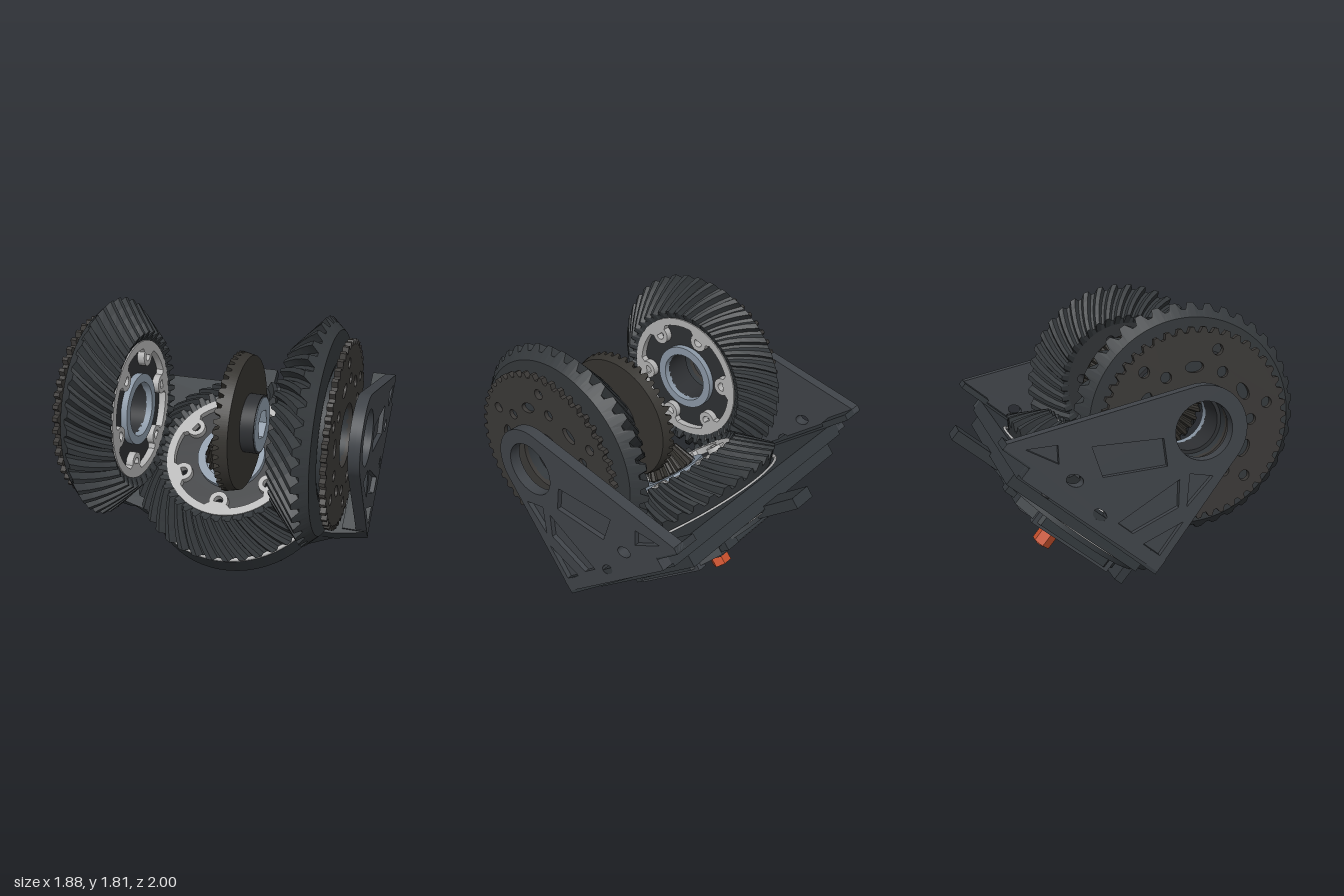
import * as THREE from 'three';
import { toCreasedNormals } from 'three/addons/utils/BufferGeometryUtils.js';

const mat = (color, flat = false) => new THREE.MeshStandardMaterial({ color, flatShading: flat });
const GEAR = mat(0x34383b, true), FRAME = mat(0x33383c), PLATE = mat(0x3f4348), WEB = mat(0x2e3033);
const SPROCKET = mat(0x3b3937), SILVER = mat(0xb4b4b4), STEEL = mat(0x8b98a6), ORANGE = mat(0xc8502c);
const TAU = Math.PI * 2;

function add(parent, name, geo, material, x = 0, y = 0, z = 0) {
  const m = new THREE.Mesh(geo, material);
  m.name = name;
  m.position.set(x, y, z);
  parent.add(m);
  return m;
}
const box = (p, name, m, x0, x1, y0, y1, z0, z1) =>
  add(p, name, new THREE.BoxGeometry(x1 - x0, y1 - y0, z1 - z0), m, (x0 + x1) / 2, (y0 + y1) / 2, (z0 + z1) / 2);
const cyl = (p, name, m, r, y0, y1, x = 0, z = 0, seg = 64) =>
  add(p, name, new THREE.CylinderGeometry(r, r, y1 - y0, seg), m, x, (y0 + y1) / 2, z);

const circle = (r, x = 0, y = 0) => new THREE.Path().absarc(x, y, r, 0, TAU, true);
const slot = (x, y, rx, ry, rot) => new THREE.Path().absellipse(x, y, rx, ry, 0, TAU, true, rot);
const poly = (pts) => new THREE.Shape(pts.map(([x, y]) => new THREE.Vector2(x, y)));
const ngon = (r, n, turn = 0) => Array.from({ length: n }, (_, i) =>
  [r * Math.cos(i * TAU / n + turn), r * Math.sin(i * TAU / n + turn)]);

function extrude(shape, depth, holes = []) {
  shape.holes.push(...holes);
  return toCreasedNormals(new THREE.ExtrudeGeometry(shape, { depth, bevelEnabled: false, curveSegments: 28 }), 0.5);
}
const ring = (rOut, rIn, depth, holes = []) =>
  extrude(new THREE.Shape().absarc(0, 0, rOut, 0, TAU), depth, [circle(rIn), ...holes]);

// Spiral bevel gear about z: the toothed cone runs from inner to outer as [radius, z], then to the back edge
function bevelGear({ teeth, inner, outer, back, bore, h, twist }) {
  const len = Math.hypot(outer[0] - inner[0], outer[1] - inner[1]);
  const n = [-(outer[1] - inner[1]) / len * h, (outer[0] - inner[0]) / len * h];
  const rows = [{ r: bore, a: inner[1] + n[1], t: 0, d: 0 }];
  for (let k = 0; k <= 4; k++) {
    const f = k / 4;
    rows.push({ r: inner[0] + (outer[0] - inner[0]) * f, a: inner[1] + (outer[1] - inner[1]) * f, t: twist * f, d: 0.65 + 0.35 * f });
  }
  rows.push({ r: back[0], a: back[1], t: twist, d: 0 }, { r: bore, a: back[1], t: twist, d: 0 });
  const phases = [[0, 1], [0.25, 1], [0.46, 0], [0.8, 0]], cols = teeth * 4;
  const pos = [], idx = [];
  for (const { r, a, t, d } of rows)
    for (let j = 0; j < cols; j++) {
      const [ph, root] = phases[j % 4];
      const ang = (Math.floor(j / 4) + ph) / teeth * TAU + t;
      const rr = r + n[0] * d * root;
      pos.push(rr * Math.cos(ang), rr * Math.sin(ang), a + n[1] * d * root);
    }
  for (let i = 0; i < rows.length; i++)
    for (let j = 0; j < cols; j++) {
      const i2 = (i + 1) % rows.length, j2 = (j + 1) % cols;
      const A = i * cols + j, B = i * cols + j2, C = i2 * cols + j2, D = i2 * cols + j;
      idx.push(A, B, C, A, C, D);
    }
  const g = new THREE.BufferGeometry();
  g.setAttribute('position', new THREE.Float32BufferAttribute(pos, 3));
  g.setIndex(idx);
  g.computeVertexNormals();
  return g;
}

// Bolted silver ring with six eyelets
function spider(parent) {
  add(parent, 'spiderRim', ring(0.435, 0.385, 0.05), SILVER, 0, 0, 0.485);
  add(parent, 'spiderHub', ring(0.225, 0.17, 0.05), STEEL, 0, 0, 0.49);
  for (const [x, y] of ngon(0.335, 6, Math.PI / 2)) {
    add(parent, 'spiderEyelet', ring(0.062, 0.03, 0.05), SILVER, x, y, 0.485);
    const gusset = add(parent, 'spiderGusset', extrude(poly([[-0.12, 0.4], [-0.045, 0.345], [0.045, 0.345], [0.12, 0.4]].reverse()), 0.05,
      [circle(0.03, 0, 0.335)].slice(1)), SILVER, 0, 0, 0.485);
    gusset.rotation.z = Math.atan2(y, x) - Math.PI / 2;
  }
}

function bigGear(name, twist, silver) {
  const g = new THREE.Group();
  g.name = name;
  add(g, 'gearTeeth', bevelGear({ teeth: 40, inner: [0.49, 0.46], outer: [0.685, 0.65], back: [0.61, 0.73], bore: 0.43, h: 0.05, twist }), GEAR);
  const bolts = ngon(0.335, 6, Math.PI / 2).map(([x, y]) => circle(0.03, x, y));
  add(g, 'gearWeb', ring(0.44, 0.17, silver ? 0.19 : 0.22, bolts), WEB, 0, 0, silver ? 0.53 : 0.5);
  if (silver) spider(g);
  return g;
}

// Toothed disc with lightening holes on the outer face of a side gear
function sprocket(parent) {
  add(parent, 'spacerDisc', ring(0.41, 0.19, 0.06), FRAME, 0, 0, 0.725);
  const pts = [];
  for (let i = 0; i < 48; i++)
    for (const [f, r] of [[0, 0.535], [0.3, 0.535], [0.5, 0.565], [0.8, 0.565]])
      pts.push([r * Math.cos((i + f) * TAU / 48), r * Math.sin((i + f) * TAU / 48)]);
  const holes = [circle(0.19)];
  for (let i = 0; i < 12; i++) {
    const a = i * TAU / 12 + 0.2, x = 0.34 * Math.cos(a), y = 0.34 * Math.sin(a);
    holes.push(i % 2 ? circle(0.032, x, y) : slot(x, y, 0.032, 0.055, a));
    if (i % 2) holes.push(circle(0.032, 0.45 * Math.cos(a + 0.2), 0.45 * Math.sin(a + 0.2)));
  }
  add(parent, 'sprocketDisc', extrude(poly(pts), 0.035, holes), SPROCKET, 0, 0, 0.775);
}

// Side bracket in (back, up) coordinates: solid inner sheet and pocketed outer sheet
function bracket(side) {
  const g = new THREE.Group();
  g.name = side > 0 ? 'leftBracket' : 'rightBracket';
  const outline = () => {
    const s = new THREE.Shape().absarc(0, 0, 0.26, 0.657, 3.09);
    for (const [x, y] of [[-0.3, -0.8], [0.69, -0.8], [0.69, -0.72], [0.87, -0.72], [0.87, -0.69]]) s.lineTo(x, y);
    return s;
  };
  const pockets = [
    [[-0.215, -0.17], [-0.2, -0.4], [-0.09, -0.24]],
    [[-0.06, -0.3], [-0.16, -0.43], [-0.03, -0.7], [0.08, -0.7]],
    [[0.17, -0.17], [0.05, -0.28], [0.32, -0.54], [0.48, -0.44]],
    [[0.64, -0.54], [0.57, -0.62], [0.77, -0.66]],
    [[-0.24, -0.48], [-0.25, -0.72], [-0.12, -0.72]],
  ].map(poly);
  const eyes = () => [circle(0.17), slot(0.44, -0.643, 0.05, 0.035, -0.3), slot(0.2, -0.72, 0.045, 0.03, 0)];
  const x0 = side > 0 ? 0.87 : -0.94;
  const inner = add(g, 'bracketSheet', extrude(outline(), 0.04, eyes()), PLATE, side > 0 ? x0 : x0 + 0.03);
  const outer = add(g, 'bracketRibs', extrude(outline(), 0.03, [...eyes(), ...pockets]), PLATE, side > 0 ? x0 + 0.04 : x0);
  inner.rotation.y = outer.rotation.y = Math.PI / 2;
  const [a, b] = side > 0 ? [0.78, 0.939] : [-0.939, -0.78];
  box(g, 'bracketFoot', FRAME, a, b, -0.8, -0.715, -0.69, 0.3);
  box(g, 'bracketHeel', FRAME, a, b, -0.73, -0.69, -0.87, -0.66);
  return g;
}

function buildBase() {
  const g = new THREE.Group();
  g.name = 'base';
  // horizontal slabs drawn in (x, back)
  const slab = (name, pts, y0, y1) => {
    const m = add(g, name, extrude(poly(pts), y1 - y0, [circle(0.5)]), FRAME, 0, y0, 0);
    m.rotation.x = -Math.PI / 2;
  };
  slab('basePlate', [[-0.86, 0.69], [-0.94, -0.3], [-0.73, -0.34], [0.73, -0.34], [0.94, -0.3], [0.86, 0.69]], -0.82, -0.73);
  slab('lowerPlate', [[-0.73, 0.67], [-0.73, -0.3], [-0.55, -0.38], [0.55, -0.38], [0.73, -0.3], [0.73, 0.67]], -0.9, -0.8);
  cyl(g, 'turntable', FRAME, 0.655, -0.91, -0.74);
  for (const [y, r] of [[-0.735, 0.64], [-0.91, 0.62]])
    add(g, 'bearingRace', new THREE.TorusGeometry(r, 0.015, 8, 80), SILVER, 0, y, 0).rotation.x = Math.PI / 2;
  cyl(g, 'turntableCap', FRAME, 0.585, -0.96, -0.9);
  const block = add(g, 'mountBlock', extrude(poly([[-0.45, 0.25], [-0.45, -0.25], [-0.3, -0.38], [0.3, -0.38], [0.45, -0.25], [0.45, 0.25], [0.3, 0.41], [-0.3, 0.41]]),
    0.09, [circle(0.17)]), FRAME, 0, -1.03, 0);
  block.rotation.x = -Math.PI / 2;
  add(g, 'shaftCollar', ring(0.22, 0.15, 0.03), PLATE, 0, -1.03, 0).rotation.x = Math.PI / 2;
  for (const s of [-1, 1]) {
    box(g, 'mountRail', PLATE, s * 0.4 - 0.03, s * 0.4 + 0.03, -1.05, -0.95, -0.3, 0.3);
    box(g, 'mountBar', PLATE, -0.28, 0.28, -1.05, -0.95, s * 0.33 - 0.03, s * 0.33 + 0.03);
    box(g, 'frontTab', FRAME, s * 0.245 - 0.12, s * 0.245 + 0.12, -1.07, -0.95, 0.41, 0.47);
    box(g, 'rearTab', FRAME, s * 0.28 - 0.05, s * 0.28 + 0.05, -1.0, -0.9, -0.52, -0.45);
    for (let i = 0; i < 4; i++) cyl(g, 'flangeBolt', WEB, 0.03, -0.815, -0.79, s * 0.86, -0.5 + i * 0.22, 12);
  }
  for (const [x, z] of ngon(0.28, 12, 0.13)) cyl(g, 'mountScrew', WEB, 0.03, -1.045, -1.02, x, z, 12);
  box(g, 'rearArm', FRAME, -0.11, 0.05, -0.95, -0.88, -0.92, -0.4);
  return g;
}

export function createModel() {
  const model = new THREE.Group();
  model.name = 'bevelGearModule';
  // whole mechanism is tilted about the common gear axis
  const tilt = new THREE.Group();
  tilt.name = 'tiltedAssembly';
  tilt.position.set(0, 1.15, 0.32);
  tilt.rotation.x = 0.675;
  model.add(tilt);

  const left = bigGear('leftGear', 0.25, false), right = bigGear('rightGear', 0.25, true);
  left.rotation.y = Math.PI / 2;
  right.rotation.y = -Math.PI / 2;
  sprocket(left);
  sprocket(right);
  const lower = bigGear('lowerGear', -0.25, true);
  lower.rotation.x = Math.PI / 2;

  // small driven gear with hexagonal bore
  const small = new THREE.Group();
  small.name = 'smallGear';
  small.rotation.y = Math.PI / 2;
  add(small, 'smallGearTeeth', bevelGear({ teeth: 44, inner: [0.28, 0.09], outer: [0.43, 0.125], back: [0.41, 0.21], bore: 0.17, h: 0.035, twist: 0 }), mat(0x35332f, true));
  add(small, 'smallGearHub', ring(0.18, 0.165, 0.09), WEB, 0, 0, 0.205);
  const hexHole = poly(ngon(0.095, 6, 0.1));
  add(small, 'hexBushing', extrude(new THREE.Shape().absarc(0, 0, 0.168, 0, TAU), 0.2, [hexHole]), STEEL, 0, 0, 0.1);

  // pinion and hexagonal drive shaft
  const pinion = new THREE.Group();
  pinion.name = 'pinion';
  pinion.rotation.x = Math.PI / 2;
  add(pinion, 'pinionTeeth', bevelGear({ teeth: 18, inner: [0.11, 0.34], outer: [0.17, 0.48], back: [0.13, 0.51], bore: 0.05, h: 0.035, twist: 0 }), mat(0x35332f, true));
  add(pinion, 'pinionSeat', ring(0.2, 0.05, 0.03), STEEL, 0, 0, 0.51);
  const shaft = add(tilt, 'driveShaft', new THREE.CylinderGeometry(0.066, 0.066, 0.88, 6), mat(0xc8502c, true), 0, -0.76, 0);
  shaft.rotation.y = Math.PI / 6;
  cyl(tilt, 'shaftTip', ORANGE, 0.03, -1.21, -0.31, 0, 0, 20);

  tilt.add(left, right, lower, small, pinion, bracket(1), bracket(-1), buildBase());
  return model;
}
